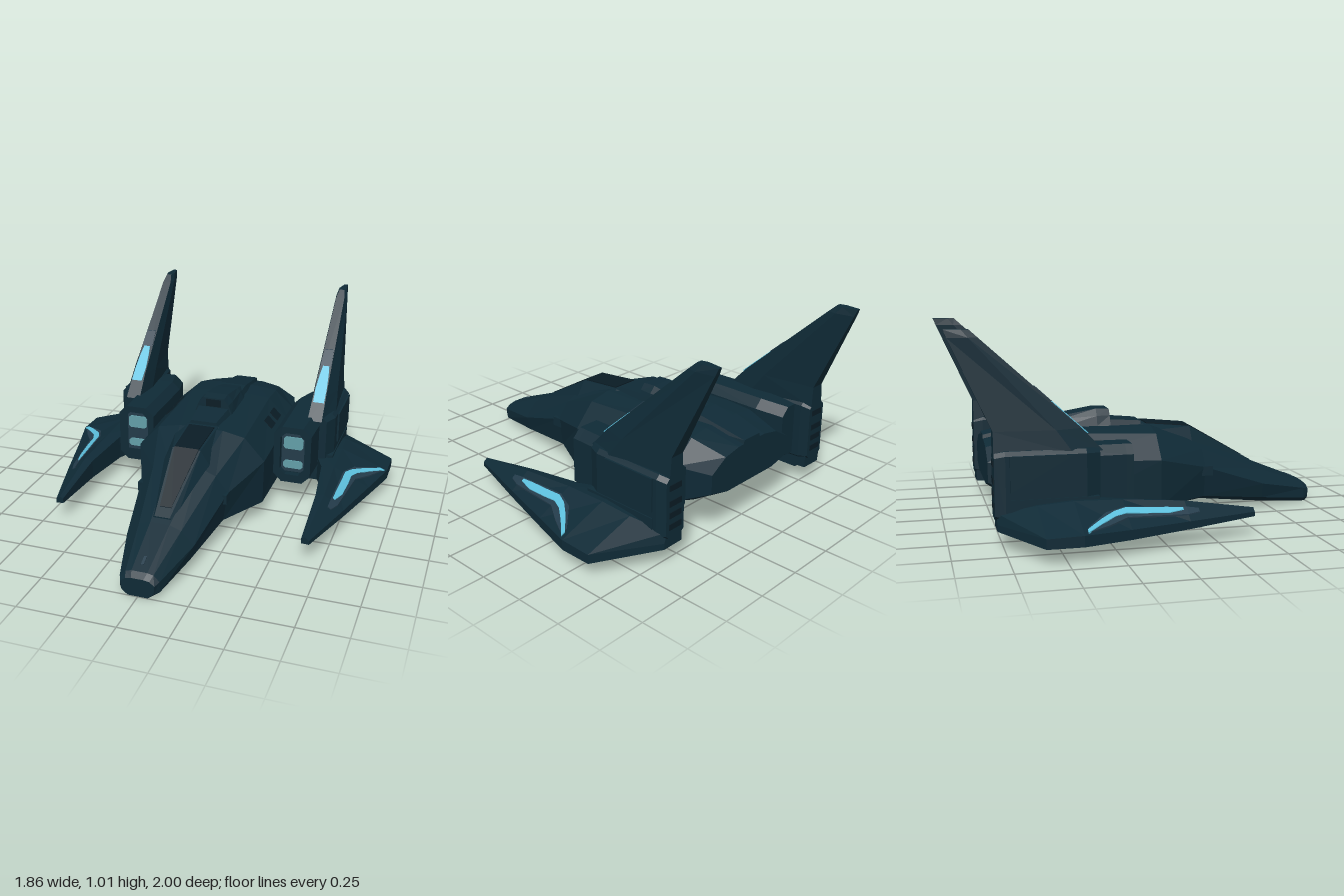
import * as THREE from 'three';

const mat = (name, color) => {
  const m = new THREE.MeshStandardMaterial({ color });
  m.name = name;
  return m;
};
const lerp = THREE.MathUtils.lerp;

// Flat-shaded solid through matching loops of [x, y, z] points
function loft(loops) {
  const tris = [];
  const n = loops[0].length;
  for (let i = 0; i < loops.length - 1; i++) {
    for (let j = 0; j < n; j++) {
      const k = (j + 1) % n;
      const [a, b, c, d] = [loops[i][j], loops[i][k], loops[i + 1][k], loops[i + 1][j]];
      tris.push([a, b, c], [a, c, d]);
    }
  }
  const last = loops[loops.length - 1];
  for (let j = 1; j < n - 1; j++) {
    tris.push([loops[0][0], loops[0][j + 1], loops[0][j]], [last[0], last[j], last[j + 1]]);
  }
  // Turn the faces outward whichever way the loops run
  let volume = 0;
  for (const [a, b, c] of tris) {
    volume += a[0] * (b[1] * c[2] - b[2] * c[1]) + a[1] * (b[2] * c[0] - b[0] * c[2]) + a[2] * (b[0] * c[1] - b[1] * c[0]);
  }
  if (volume < 0) tris.forEach((t) => t.reverse());
  const g = new THREE.BufferGeometry();
  g.setAttribute('position', new THREE.Float32BufferAttribute(tris.flat(2), 3));
  g.computeVertexNormals();
  return g;
}

// Symmetric hull loop from its right half, bottom to top
const hullLoop = (z, half) => [
  ...half.map(([x, y]) => [x, y, z]),
  ...half.slice().reverse().map(([x, y]) => [-x, y, z]),
];

// Chamfered rectangle in the xy plane
const chamfer = (x0, x1, y0, y1, c) => [
  [x0 + c, y0], [x1 - c, y0], [x1, y0 + c], [x1, y1 - c],
  [x1 - c, y1], [x0 + c, y1], [x0, y1 - c], [x0, y0 + c],
];

// Wing loops: inner bottom, outer bottom, outer top, crest, inner top
const wingData = [
  // z, inner x, outer x, bottom, outer top, crest x, crest y
  [0.455, 0.645, 0.685, 0.105, 0.125, 0.662, 0.142],
  [0.1, 0.635, 0.785, 0.09, 0.125, 0.68, 0.2],
  [-0.2, 0.6, 0.865, 0.08, 0.125, 0.67, 0.22],
  [-0.43, 0.5, 0.93, 0.08, 0.13, 0.67, 0.225],
  [-0.6, 0.5, 0.93, 0.08, 0.125, 0.66, 0.21],
  [-0.78, 0.5, 0.62, 0.09, 0.12, 0.6, 0.17],
];
const wingLoop = ([z, xi, xo, yb, yo, xc, yc]) => [
  [xi, yb, z], [xo, yb - 0.002, z], [xo, yo, z], [xc, yc, z], [xi, yc - 0.01, z],
];

// Point on the wing's outer slope; t runs from crest to edge
function wingPoint(z, t, lift) {
  let i = 0;
  while (i < wingData.length - 2 && z < wingData[i + 1][0]) i++;
  const a = wingData[i], b = wingData[i + 1];
  const f = (z - a[0]) / (b[0] - a[0]);
  const v = a.map((q, k) => lerp(q, b[k], f));
  return [lerp(v[5], v[2], t), lerp(v[6], v[4], t) + lift, z];
}

// Thin light strip on the wing; rows of [z, t0, t1]
const wingStrip = (rows, lift) => loft(rows.map(([z, t0, t1]) => [
  wingPoint(z, t0, lift), wingPoint(z, t1, lift), wingPoint(z, t1, lift - 0.008), wingPoint(z, t0, lift - 0.008),
]));

export function createModel() {
  const model = new THREE.Group();
  model.name = 'spacecraft';
  const hull = mat('dark teal hull', 0x0f2a36);
  const seam = mat('dark seams', 0x0a1c25);
  const glow = mat('cyan light', 0x5cbfdc);
  const intakeGlow = mat('pale teal light', 0x629fa8);
  const slate = mat('slate trim', 0x233b4a);

  const add = (parent, name, geo, material) => {
    const m = new THREE.Mesh(geo, material);
    m.name = name;
    parent.add(m);
    return m;
  };
  const box = (parent, name, material, w, h, d, x, y, z) => {
    const m = add(parent, name, new THREE.BoxGeometry(w, h, d), material);
    m.position.set(x, y, z);
    return m;
  };

  // Fuselage
  add(model, 'fuselage', loft([
    hullLoop(1, [[0.05, 0.005], [0.08, 0.03], [0.085, 0.075], [0.06, 0.095], [0.03, 0.1]]),
    hullLoop(0.97, [[0.06, 0.003], [0.1, 0.03], [0.1, 0.085], [0.07, 0.115], [0.04, 0.122]]),
    hullLoop(0.7, [[0.08, 0.025], [0.155, 0.06], [0.175, 0.14], [0.11, 0.21], [0.05, 0.23]]),
    hullLoop(0.35, [[0.13, 0.07], [0.21, 0.1], [0.235, 0.26], [0.17, 0.345], [0.08, 0.38]]),
    hullLoop(0.08, [[0.2, 0.045], [0.345, 0.09], [0.35, 0.33], [0.24, 0.45], [0.12, 0.475]]),
    hullLoop(-0.45, [[0.2, 0.05], [0.35, 0.09], [0.35, 0.35], [0.23, 0.47], [0.12, 0.48]]),
    hullLoop(-0.6, [[0.2, 0.11], [0.35, 0.16], [0.35, 0.35], [0.23, 0.46], [0.12, 0.475]]),
    hullLoop(-0.79, [[0.18, 0.22], [0.3, 0.25], [0.3, 0.35], [0.2, 0.41], [0.1, 0.43]]),
  ]), hull);
  add(model, 'bellyPlate', loft([
    hullLoop(0.33, [[0.1, 0.06], [0.14, 0.1]]),
    hullLoop(0.12, [[0.15, 0.035], [0.2, 0.08]]),
    hullLoop(-0.43, [[0.15, 0.04], [0.2, 0.08]]),
    hullLoop(-0.5, [[0.12, 0.08], [0.18, 0.1]]),
  ]), hull);

  // Cockpit canopy with a raised centre pane
  add(model, 'canopy', loft([
    hullLoop(0.67, [[0.05, 0.2], [0.065, 0.225], [0.04, 0.25]]),
    hullLoop(0.31, [[0.13, 0.3], [0.13, 0.37], [0.075, 0.455]]),
    hullLoop(0.05, [[0.15, 0.4], [0.15, 0.45], [0.085, 0.48]]),
    hullLoop(0.02, [[0.13, 0.4], [0.13, 0.45], [0.08, 0.475]]),
  ]), hull);
  add(model, 'canopyPane', loft([
    hullLoop(0.62, [[0.03, 0.25], [0.03, 0.281]]),
    hullLoop(0.31, [[0.065, 0.44], [0.065, 0.461]]),
    hullLoop(0.07, [[0.07, 0.46], [0.07, 0.484]]),
  ]), seam);

  // Dorsal spine and hump
  add(model, 'spine', loft([
    hullLoop(0.04, [[0.09, 0.45], [0.07, 0.495]]),
    hullLoop(-0.14, [[0.11, 0.45], [0.085, 0.51]]),
    hullLoop(-0.5, [[0.1, 0.45], [0.075, 0.51]]),
    hullLoop(-0.79, [[0.07, 0.4], [0.06, 0.45]]),
  ]), hull);
  add(model, 'hump', loft([
    hullLoop(-0.13, [[0.105, 0.48], [0.085, 0.53], [0.06, 0.562]]),
    hullLoop(-0.2, [[0.105, 0.48], [0.09, 0.53], [0.06, 0.565]]),
    hullLoop(-0.38, [[0.1, 0.48], [0.08, 0.52], [0.06, 0.535]]),
    hullLoop(-0.48, [[0.09, 0.47], [0.07, 0.49], [0.05, 0.51]]),
  ]), hull);
  box(model, 'humpVent', seam, 0.08, 0.04, 0.008, 0, 0.535, -0.128);
  box(model, 'spineSlot', seam, 0.09, 0.008, 0.15, 0, 0.484, -0.6).rotation.x = -0.2;
  box(model, 'noseMark', slate, 0.014, 0.008, 0.05, 0, 0.146, 0.91).rotation.x = 0.385;

  for (const s of [1, -1]) {
    const side = new THREE.Group();
    side.name = s > 0 ? 'leftSide' : 'rightSide';
    model.add(side);
    const solid = (name, loops, m) => add(side, name, loft(loops.map((l) => l.map(([x, y, z]) => [s * x, y, z]))), m);
    const sideBox = (name, m, w, h, d, x, y, z) => box(side, name, m, w, h, d, s * x, y, z);
    const at = (z, pts) => pts.map(([x, y]) => [x, y, z]);

    // Hull hatches and shoulder blister
    for (const z of [-0.25, -0.37]) {
      sideBox('hatch', seam, 0.06, 0.008, 0.07, 0.29, 0.412, z).rotation.z = -s * 0.78;
    }
    sideBox('hullBlister', hull, 0.03, 0.05, 0.06, 0.225, 0.24, 0.36);

    // Intake pod with a hollow octagonal rim
    solid('intakePod', [
      at(-0.15, chamfer(0.35, 0.555, 0.13, 0.455, 0.045)),
      at(-0.55, chamfer(0.35, 0.57, 0.13, 0.455, 0.045)),
      at(-0.7, chamfer(0.385, 0.57, 0.16, 0.44, 0.045)),
    ], hull);
    const toPath = (p) => p.map(([x, y]) => new THREE.Vector2(s * x, y));
    const rim = new THREE.Shape(toPath(chamfer(0.35, 0.555, 0.13, 0.455, 0.045)));
    rim.holes.push(new THREE.Path(toPath(chamfer(0.385, 0.52, 0.175, 0.42, 0.03))));
    add(side, 'intakeRim', new THREE.ExtrudeGeometry(rim, { depth: 0.04, bevelEnabled: false }), hull).position.z = -0.155;
    sideBox('intakeBack', slate, 0.13, 0.23, 0.006, 0.4525, 0.2975, -0.147);
    for (const [y, h] of [[0.355, 0.07], [0.228, 0.045]]) {
      add(side, 'intakeLight', loft([
        at(-0.143, chamfer(0.4, 0.508, y - h / 2, y + h / 2, 0.012)),
        at(-0.135, chamfer(0.4, 0.508, y - h / 2, y + h / 2, 0.012)),
      ].map((l) => l.map(([x, yy, z]) => [s * x, yy, z]))), intakeGlow);
    }

    // Engine block behind the pod, with rear vents
    solid('engineBlock', [
      at(-0.29, chamfer(0.48, 0.6, 0.16, 0.455, 0.02)),
      at(-0.36, chamfer(0.475, 0.635, 0.13, 0.46, 0.02)),
      at(-0.74, chamfer(0.49, 0.635, 0.13, 0.46, 0.02)),
      at(-0.79, chamfer(0.5, 0.62, 0.14, 0.45, 0.02)),
    ], hull);
    sideBox('engineSidePanel', hull, 0.02, 0.17, 0.3, 0.635, 0.355, -0.57);
    for (const y of [0.2, 0.26, 0.32, 0.4]) {
      sideBox('rearVent', seam, 0.08, 0.03, 0.008, 0.56, y, -0.79);
    }

    // Swept tail fin with a flat leading edge
    const finLoop = (y, zf, zm, zb, xs) => [
      [xs[0], y, zm], [xs[1], y, zf], [xs[2], y, zf], [xs[3], y, zm], [xs[4], y, zb], [xs[5], y, zb],
    ];
    solid('tailFin', [
      finLoop(0.44, -0.27, -0.42, -0.79, [0.475, 0.495, 0.575, 0.625, 0.6, 0.51]),
      finLoop(0.55, -0.372, -0.5, -0.79, [0.48, 0.5, 0.572, 0.612, 0.59, 0.515]),
      finLoop(0.98, -0.845, -0.89, -0.985, [0.502, 0.51, 0.557, 0.567, 0.55, 0.52]),
      finLoop(1.017, -0.885, -0.92, -1, [0.512, 0.52, 0.547, 0.555, 0.545, 0.525]),
    ], hull);
    const finStrip = (name, m, rows) => solid(name, rows.map(([y, x0, x1]) => {
      const z = -0.372 - (y - 0.55) * 1.1;
      return [[x0, y, z + 0.006], [x1, y, z + 0.006], [x1, y, z - 0.002], [x0, y, z - 0.002]];
    }), m);
    finStrip('finLight', glow, [[0.525, 0.508, 0.568], [0.58, 0.505, 0.568], [0.64, 0.512, 0.562], [0.68, 0.52, 0.555]]);
    finStrip('finTrim', slate, [[0.68, 0.505, 0.567], [0.75, 0.512, 0.562]]);

    // Low forward-pointing wing with its light strip
    solid('wing', wingData.map(wingLoop), hull);
    const strip = (name, rows, lift, m) => {
      const mesh = add(side, name, wingStrip(rows, lift), m);
      if (s < 0) {
        // Mirror the strip and restore its winding
        const p = mesh.geometry.attributes.position;
        for (let i = 0; i < p.count; i += 3) {
          const v = [0, 2, 1].map((k) => [-p.getX(i + k), p.getY(i + k), p.getZ(i + k)]);
          v.forEach((q, k) => p.setXYZ(i + k, ...q));
        }
        mesh.geometry.computeVertexNormals();
      }
    };
    strip('wingTrim', [[0.16, 0.4, 0.6], [0.1, 0.34, 0.7], [-0.2, 0.27, 0.62], [-0.3, 0.42, 0.82], [-0.4, 0.8, 0.94]], 0.005, slate);
    strip('wingLight', [[0.08, 0.4, 0.5], [0, 0.36, 0.6], [-0.12, 0.34, 0.55], [-0.2, 0.32, 0.5],
      [-0.26, 0.42, 0.58], [-0.33, 0.62, 0.76], [-0.41, 0.88, 0.97]], 0.009, glow);
    sideBox('wingRoot', hull, 0.14, 0.16, 0.42, 0.57, 0.155, -0.51);
  }
  return model;
}
